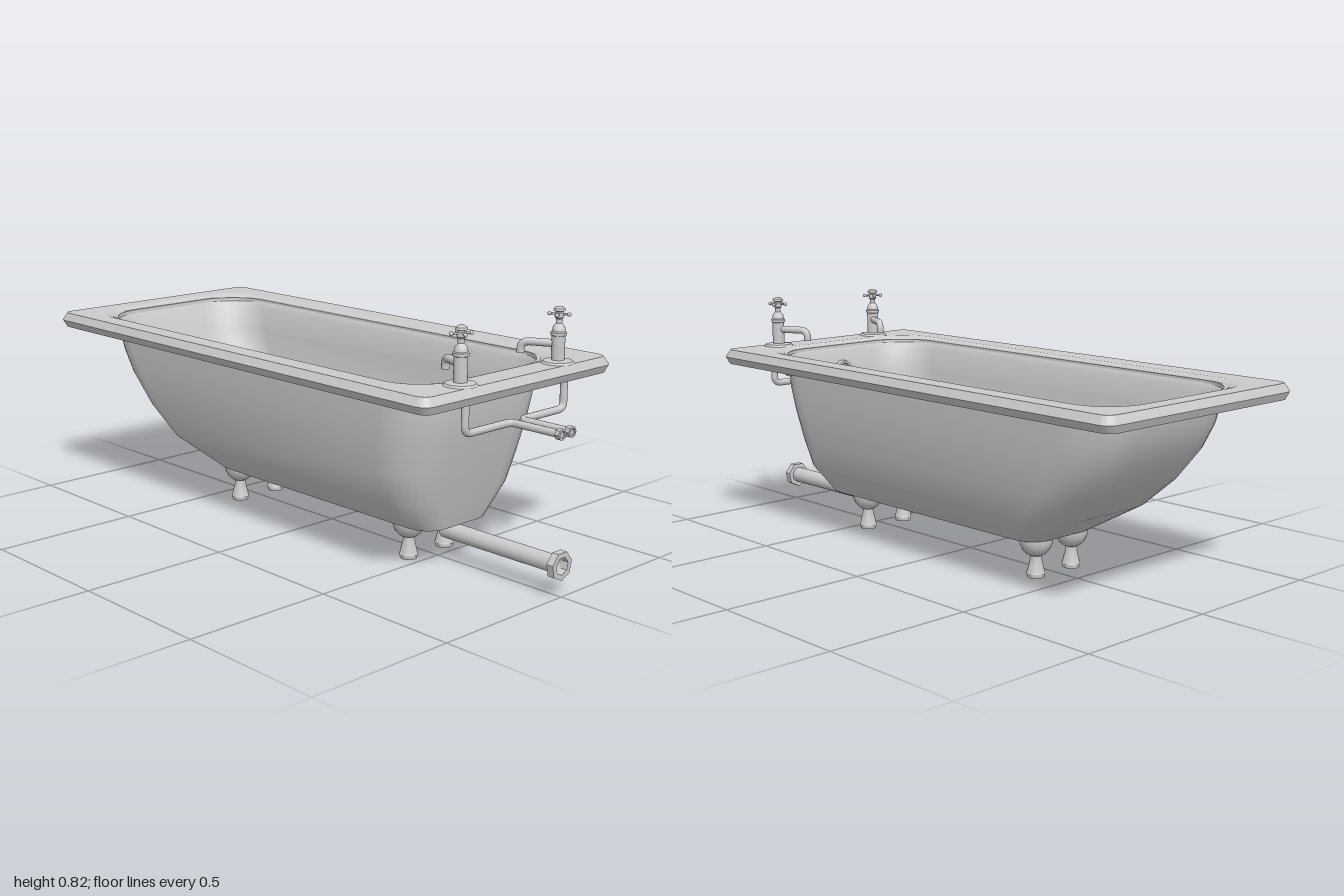
import * as THREE from 'three';
import { toCreasedNormals } from 'three/addons/utils/BufferGeometryUtils.js';

const material = new THREE.MeshStandardMaterial({ color: 0xcccccc, side: THREE.DoubleSide });

function add(parent, name, geometry, x = 0, y = 0, z = 0) {
  const mesh = new THREE.Mesh(geometry, material);
  mesh.name = name;
  mesh.position.set(x, y, z);
  parent.add(mesh);
  return mesh;
}

// Closed rounded-rectangle ring in the horizontal plane
function ring([y, x0, x1, hz, r]) {
  const points = [];
  const corners = [[x1 - r, hz - r], [x0 + r, hz - r], [x0 + r, r - hz], [x1 - r, r - hz]];
  corners.forEach(([cx, cz], q) => {
    for (let i = 0; i <= 8; i++) {
      const a = (q + i / 8) * Math.PI / 2;
      points.push(cx + r * Math.cos(a), y, cz + r * Math.sin(a));
    }
  });
  return points;
}

// Skin over a stack of rings, each [y, xMin, xMax, halfWidth, cornerRadius]
function loft(sections, crease) {
  const n = 36, index = [];
  for (let i = 0; i < sections.length - 1; i++) {
    for (let j = 0; j < n; j++) {
      const a = i * n + j, b = i * n + (j + 1) % n;
      index.push(a, a + n, b, b, a + n, b + n);
    }
  }
  const geometry = new THREE.BufferGeometry();
  geometry.setAttribute('position', new THREE.Float32BufferAttribute(sections.flatMap(ring), 3));
  geometry.setIndex(index);
  return toCreasedNormals(geometry, crease);
}

function lathe(profile, segments = 20) {
  const geometry = new THREE.LatheGeometry(profile.map(([r, y]) => new THREE.Vector2(r, y)), segments);
  return toCreasedNormals(geometry, 0.6);
}

// Round pipe through points, with bends of the given radius
function pipe(points, radius, bend) {
  const p = points.map((q) => new THREE.Vector3(...q));
  const path = new THREE.CurvePath();
  let start = p[0];
  for (let i = 1; i < p.length - 1; i++) {
    const before = p[i].clone().add(p[i - 1].clone().sub(p[i]).setLength(bend));
    const after = p[i].clone().add(p[i + 1].clone().sub(p[i]).setLength(bend));
    path.add(new THREE.LineCurve3(start, before));
    path.add(new THREE.QuadraticBezierCurve3(before, p[i], after));
    start = after;
  }
  path.add(new THREE.LineCurve3(start, p[p.length - 1]));
  return new THREE.TubeGeometry(path, 64, radius, 12);
}

function createTap() {
  const tap = new THREE.Group();
  tap.name = 'tap';
  add(tap, 'tapBody', lathe([
    [0, 0], [0.052, 0], [0.046, 0.007], [0.021, 0.01], [0.021, 0.085], [0.025, 0.087], [0.025, 0.096],
    [0.021, 0.099], [0.019, 0.112], [0.013, 0.12], [0.01, 0.124], [0.01, 0.137], [0.014, 0.142],
    [0.014, 0.157], [0.011, 0.16], [0.019, 0.163], [0.017, 0.17], [0.01, 0.175], [0, 0.176],
  ]));
  add(tap, 'spout', pipe([[0, 0.06, 0], [-0.118, 0.06, 0], [-0.118, 0.023, 0]], 0.0125, 0.028));
  // Cross handle
  for (let i = 0; i < 4; i++) {
    const arm = new THREE.Group();
    arm.name = 'handleArm';
    arm.position.y = 0.152;
    arm.rotation.y = i * Math.PI / 2;
    add(arm, 'armRod', new THREE.CylinderGeometry(0.0035, 0.0035, 0.03, 8), 0.015).rotation.z = Math.PI / 2;
    add(arm, 'armKnob', new THREE.SphereGeometry(0.0065, 10, 8), 0.031);
    tap.add(arm);
  }
  return tap;
}

export function createModel() {
  const bath = new THREE.Group();
  bath.name = 'bathtub';

  // Outer shell, from the flat bottom up to the rim
  add(bath, 'outerShell', loft([
    [0.13, -0.3, 0.45, 0.002, 0.001],
    [0.13, -0.45, 0.6, 0.155, 0.08],
    [0.235, -0.63, 0.63, 0.255, 0.13],
    [0.335, -0.745, 0.655, 0.285, 0.15],
    [0.44, -0.83, 0.682, 0.303, 0.16],
    [0.52, -0.87, 0.697, 0.311, 0.16],
    [0.595, -0.892, 0.702, 0.315, 0.16],
    [0.635, -0.895, 0.705, 0.318, 0.16],
  ], 0.5));

  // Rim with a hollow underside and bevelled edge
  add(bath, 'rim', loft([
    [0.635, -0.895, 0.705, 0.318, 0.16],
    [0.632, -0.965, 0.805, 0.395, 0.03],
    [0.595, -0.975, 0.815, 0.405, 0.03],
    [0.595, -0.99, 0.83, 0.418, 0.035],
    [0.62, -1, 0.84, 0.431, 0.04],
    [0.646, -0.985, 0.825, 0.417, 0.035],
    [0.645, -0.925, 0.735, 0.345, 0.15],
  ], 0.4));

  // Smooth basin, rolling over from the rim
  add(bath, 'basin', loft([
    [0.645, -0.925, 0.735, 0.345, 0.15],
    [0.637, -0.905, 0.712, 0.323, 0.155],
    [0.61, -0.885, 0.695, 0.308, 0.16],
    [0.52, -0.86, 0.688, 0.302, 0.16],
    [0.44, -0.815, 0.672, 0.293, 0.16],
    [0.335, -0.73, 0.645, 0.275, 0.15],
    [0.24, -0.61, 0.62, 0.24, 0.13],
    [0.17, -0.48, 0.59, 0.175, 0.1],
    [0.145, -0.4, 0.56, 0.12, 0.08],
    [0.143, -0.3, 0.45, 0.002, 0.001],
  ], 1.2));

  // Plug and overflow
  const plug = add(bath, 'plug', new THREE.SphereGeometry(0.043, 20, 8, 0, Math.PI * 2, 0, Math.PI / 2), 0.44, 0.144, 0);
  plug.scale.y = 0.5;
  const overflow = add(bath, 'overflow', lathe([[0, 0.006], [0.025, 0.006], [0.028, 0.014], [0.036, 0.014], [0.04, 0], [0, 0]]), 0.687, 0.54, 0);
  overflow.rotation.z = Math.PI / 2 - 0.1;

  // Four feet
  for (const x of [-0.395, 0.45]) {
    for (const z of [-0.083, 0.083]) {
      add(bath, 'foot', lathe([
        [0, 0], [0.027, 0], [0.031, 0.014], [0.029, 0.018], [0.025, 0.035], [0.019, 0.06], [0.019, 0.072],
        [0.03, 0.077], [0.043, 0.09], [0.051, 0.106], [0.055, 0.122], [0.055, 0.14],
      ]), x, 0, z);
    }
  }

  // Taps and their supply pipes
  for (const s of [-1, 1]) {
    const tap = createTap();
    tap.position.set(0.78, 0.645, s * 0.222);
    tap.rotation.y = -s * 0.45;
    bath.add(tap);
    add(bath, 'supplyPipe', pipe([
      [0.805, 0.64, s * 0.226], [0.805, 0.504, s * 0.226],
      [0.805, 0.504, s * 0.023], [0.995, 0.504, s * 0.023],
    ], 0.012, 0.025));
    const nut = add(bath, 'supplyNut', lathe([[0.011, -0.008], [0.018, -0.008], [0.018, 0.008], [0.011, 0.008]], 8), 0.992, 0.504, s * 0.023);
    nut.rotation.z = Math.PI / 2;
  }

  // Open waste pipe with its seven-sided nut
  const waste = new THREE.Group();
  waste.name = 'wastePipe';
  waste.position.set(0, 0.097, 0);
  waste.rotation.set(0, 0, -Math.PI / 2);
  add(waste, 'pipe', new THREE.CylinderGeometry(0.028, 0.028, 0.45, 14, 1, true), 0, 0.755, 0);
  const nut = add(waste, 'wasteNut', lathe([[0.028, -0.012], [0.046, -0.012], [0.046, 0.012], [0.028, 0.012], [0.028, -0.012]], 7), 0, 0.988, 0);
  nut.rotation.y = Math.PI / 2;
  bath.add(waste);

  return bath;
}
